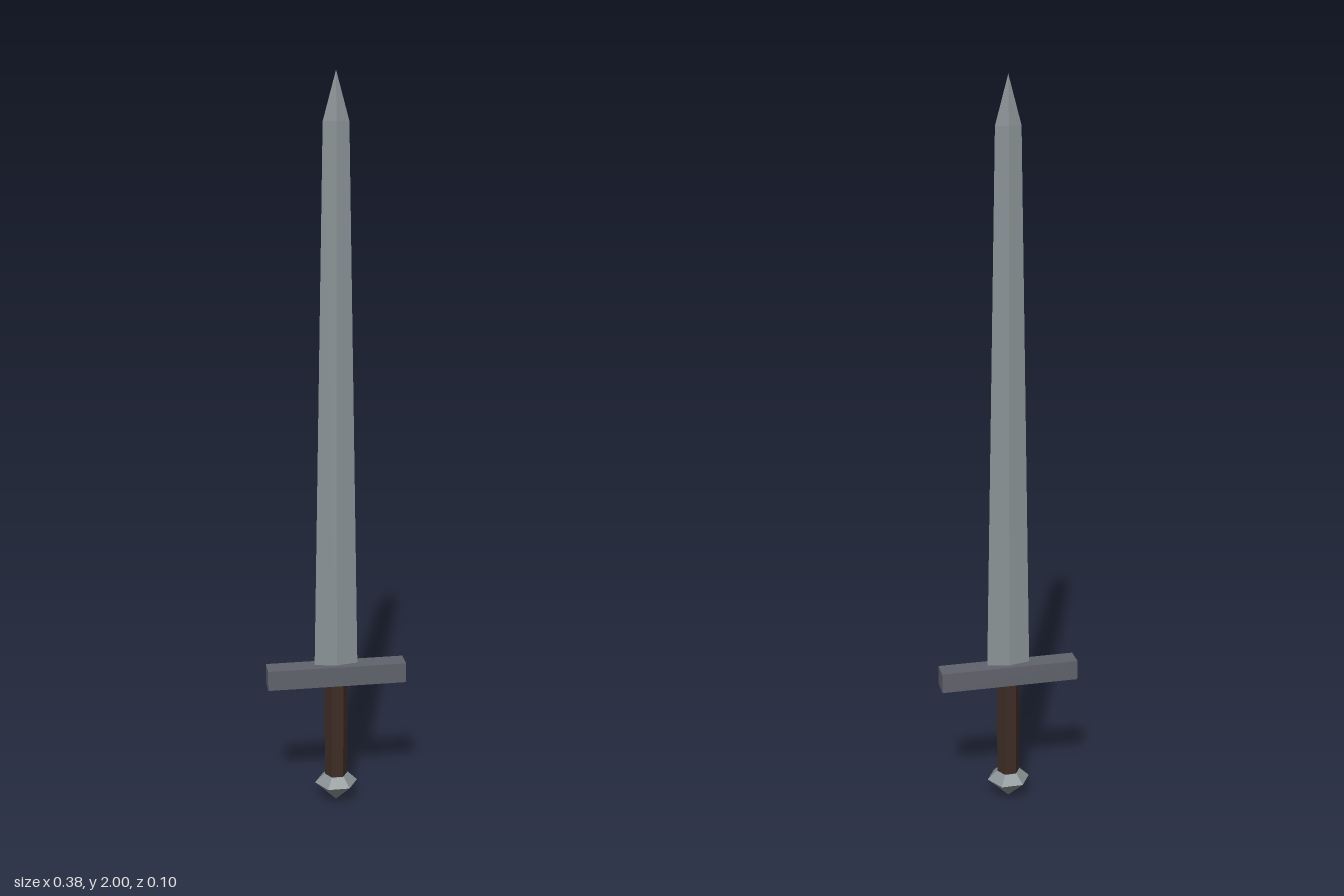
import * as THREE from 'three';

const paint = (name, color) => {
  const m = new THREE.MeshStandardMaterial({ color, flatShading: true });
  m.name = name;
  return m;
};

// Faceted solid turned from [radius, y] pairs, bottom to top, with a corner on the x axis
function faceted(name, profile, sides, depth, material) {
  const points = profile.map(([r, y]) => new THREE.Vector2(r, y));
  const geometry = new THREE.LatheGeometry(points, sides, Math.PI / 2);
  geometry.scale(1, 1, depth);
  const mesh = new THREE.Mesh(geometry, material);
  mesh.name = name;
  return mesh;
}

export function createModel() {
  const steel = paint('steel', 0x899295);
  const darkIron = paint('dark iron', 0x61636d);
  const leather = paint('brown leather', 0x3e2c25);

  const sword = new THREE.Group();
  sword.name = 'sword';

  // Diamond-section blade tapering to a shoulder, then a point
  sword.add(faceted('blade', [[0, 0.4], [0.06, 0.4], [0.034, 1.875], [0, 2]], 4, 0.22, steel));

  // Straight crossguard
  const guard = new THREE.Mesh(new THREE.BoxGeometry(0.384, 0.056, 0.056), darkIron);
  guard.name = 'crossguard';
  guard.position.y = 0.384;
  sword.add(guard);

  // Hexagonal grip
  sword.add(faceted('grip', [[0, 0.07], [0.032, 0.07], [0.032, 0.37], [0, 0.37]], 6, 1, leather));

  // Hexagonal pommel with a pointed base
  sword.add(faceted('pommel', [[0, 0], [0.06, 0.056], [0.034, 0.081], [0, 0.081]], 6, 1, steel));

  return sword;
}
